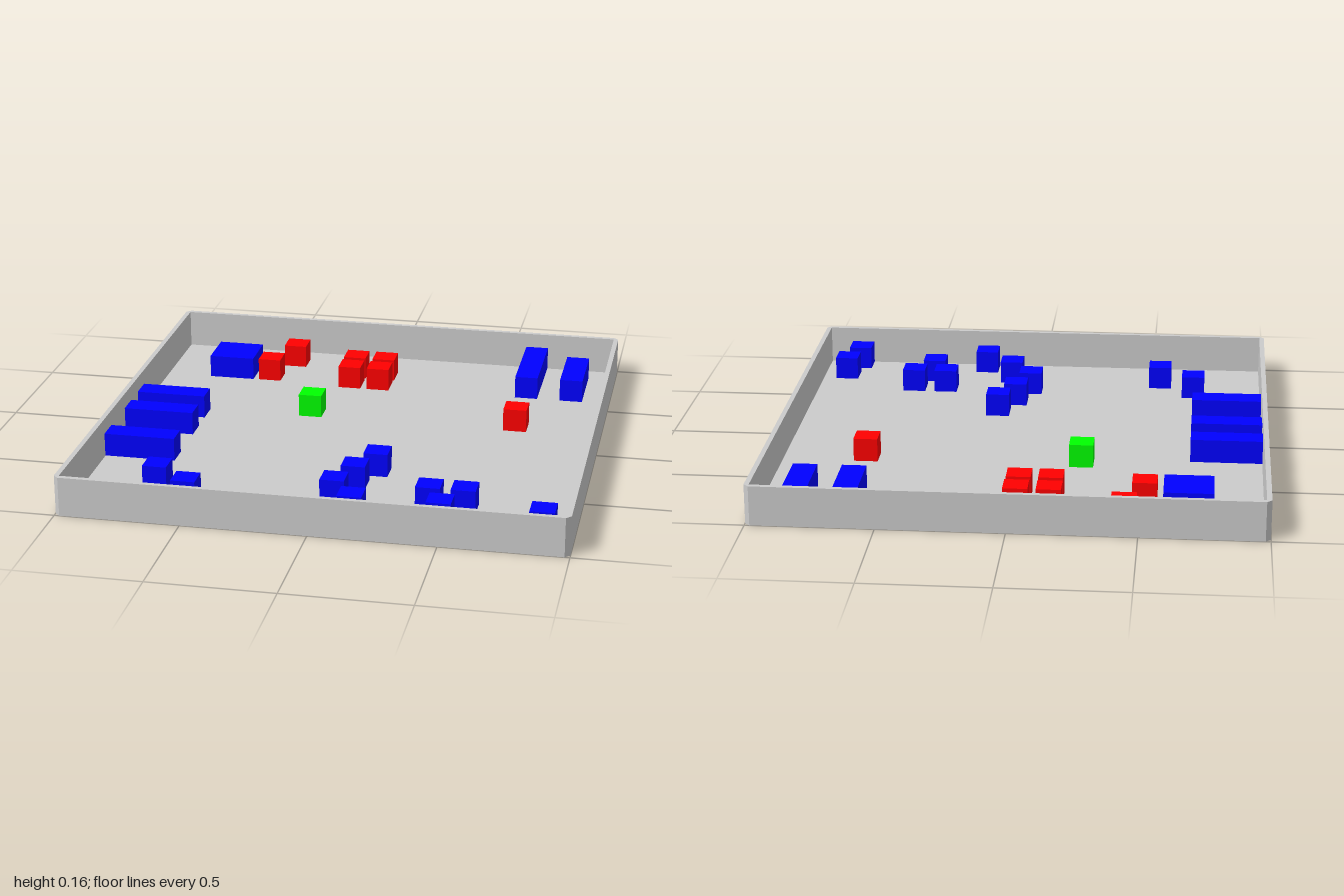
import * as THREE from 'three';

const HALF = 1;        // outer half width of the tray
const INNER = 0.98;    // inner half width
const WALL_H = 0.16;
const UNIT = 0.098;    // edge of one block

const grey = new THREE.MeshStandardMaterial({ color: 0xcccccc, side: THREE.DoubleSide, flatShading: true });
const red = new THREE.MeshStandardMaterial({ color: 0xff0000 });
const green = new THREE.MeshStandardMaterial({ color: 0x00ff00 });
const blue = new THREE.MeshStandardMaterial({ color: 0x0000ff });

// Block standing on the floor; width and depth are counted in units
function block(name, material, [x, z, w = 1, d = 1]) {
  const lift = 0.002;
  const geometry = new THREE.BoxGeometry(w * UNIT, UNIT - lift, d * UNIT);
  const mesh = new THREE.Mesh(geometry, material);
  mesh.name = name;
  mesh.position.set(x, (UNIT + lift) / 2, z);
  return mesh;
}

export function createModel() {
  const model = new THREE.Group();
  model.name = 'blockArena';

  // Thin wall ring with chamfered outer corners
  const a = HALF, b = INNER;
  const outline = [[b, -a], [a, -b], [a, b], [b, a], [-b, a], [-a, b], [-a, -b], [-b, -a]];
  const ring = new THREE.Shape(outline.map(([x, y]) => new THREE.Vector2(x, y)));
  const hole = [[-b, -b], [-b, b], [b, b], [b, -b]];
  ring.holes.push(new THREE.Path(hole.map(([x, y]) => new THREE.Vector2(x, y))));
  const wallGeometry = new THREE.ExtrudeGeometry(ring, { depth: WALL_H, bevelEnabled: false });
  wallGeometry.rotateX(-Math.PI / 2);
  const walls = new THREE.Mesh(wallGeometry, grey);
  walls.name = 'walls';
  model.add(walls);

  // Floor sheet
  const floor = new THREE.Mesh(new THREE.PlaneGeometry(2 * b, 2 * b).rotateX(-Math.PI / 2), grey);
  floor.name = 'floor';
  model.add(floor);

  // Red cubes: x, z
  [
    [-0.44, -0.835], [-0.515, -0.64],
    [-0.147, -0.738], [-0.017, -0.738], [-0.147, -0.613], [-0.02, -0.613],
    [0.637, -0.245],
  ].forEach((p) => model.add(block('redCube', red, p)));

  // Green cube
  model.add(block('greenCube', green, [-0.245, -0.245]));

  // Blue cubes: x, z
  [
    [0.15, 0.34], [0.085, 0.482], [0.031, 0.635], [0.127, 0.777], [0.25, 0.914],
    [0.41, 0.635], [0.55, 0.635], [0.474, 0.772], [0.873, 0.778], [0.833, 0.929],
    [-0.687, 0.635], [-0.539, 0.755],
  ].forEach((p) => model.add(block('blueCube', blue, p)));

  // Blue long blocks: x, z, width, depth
  [
    [-0.833, -0.147, 3, 1], [-0.833, 0.049, 3, 1], [-0.833, 0.34, 3, 1],
    [0.637, -0.784, 1, 4], [0.833, -0.735, 1, 3],
    [-0.687, -0.685, 2, 1.95],
  ].forEach((p) => model.add(block('blueBarrier', blue, p)));

  return model;
}
